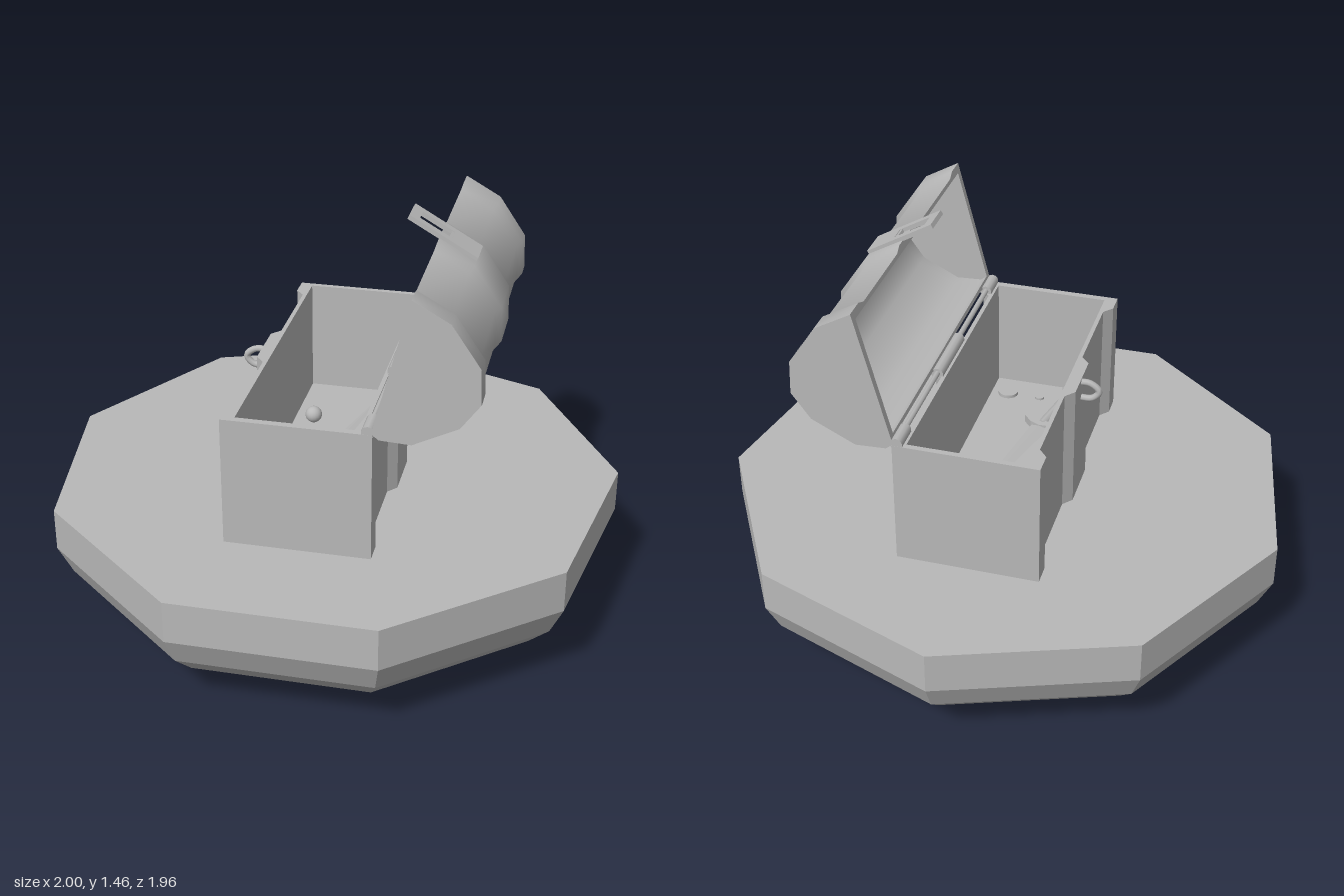
import * as THREE from 'three';
import { toCreasedNormals } from 'three/addons/utils/BufferGeometryUtils.js';

const CZ = 0.03;            // chest centre along z
const Z0 = -0.535, Z1 = 0.595;
const FLOOR = 0.5;          // inside floor of the chest

// positions along the chest: [z, 1 = raised strap, 0 = sunken panel]
const STATIONS = [
  [Z0, 1], [-0.46, 1], [-0.425, 0], [-0.1, 0], [-0.065, 1],
  [0.125, 1], [0.16, 0], [0.485, 0], [0.52, 1], [Z1, 1],
];

// lid outline from the hinge, round the curved back, to the front lip
const LID = [
  [0.24, 0.92], [0.265, 0.9], [0.37, 0.895], [0.52, 0.97], [0.585, 1.06],
  [0.58, 1.18], [0.485, 1.32], [0.36, 1.39],
];
const scaledLid = (s) => LID.map(([x, y]) => [0.3 + (x - 0.3) * s, 1.155 + (y - 1.155) * s]);

// skin closed cross-sections [{z, loop}] that run along z
function loft(sections) {
  const pos = [], idx = [], n = sections[0].loop.length;
  sections.forEach(({ z, loop }) => loop.forEach(([x, y]) => pos.push(x, y, z)));
  for (let i = 0; i < sections.length - 1; i++) {
    for (let j = 0; j < n; j++) {
      const a = i * n + j, b = i * n + (j + 1) % n;
      idx.push(a, b, b + n, a, b + n, a + n);
    }
  }
  const g = new THREE.BufferGeometry();
  g.setAttribute('position', new THREE.Float32BufferAttribute(pos, 3));
  g.setIndex(idx);
  g.computeVertexNormals();
  return g;
}

function shapeOf(points) {
  return new THREE.Shape(points.map(([x, y]) => new THREE.Vector2(x, y)));
}

export function createModel() {
  const model = new THREE.Group();
  const grey = new THREE.MeshStandardMaterial({ color: 0xb8b8b8 });
  grey.name = 'grey';

  function add(name, geometry, parent = model) {
    const mesh = new THREE.Mesh(geometry, grey);
    mesh.name = name;
    parent.add(mesh);
    return mesh;
  }
  const rod = (r, len, sides) => new THREE.CylinderGeometry(r, r, len, sides).rotateX(Math.PI / 2);

  // nine-sided rounded base
  const profile = [
    [0, 0.012], [0.13, 0.012], [0.26, 0.004], [0.38, 0], [0.56, 0.025], [0.73, 0.06],
    [0.88, 0.12], [0.962, 0.2], [1.013, 0.305], [1.013, 0.455], [0, 0.455],
  ].map(([x, y]) => new THREE.Vector2(x, y));
  const base = new THREE.LatheGeometry(profile, 9, Math.PI, Math.PI * 2);
  add('base', toCreasedNormals(base, 0.02)).position.z = 0.028;

  // chest
  const chest = new THREE.Group();
  chest.name = 'chest';
  model.add(chest);

  // walls: strapped outline with the inside cut out
  const front = STATIONS.map(([z, s]) => [s ? -0.255 : -0.225, -z]);
  const back = STATIONS.map(([z, s]) => [s ? 0.245 : 0.215, -z]).reverse();
  const walls = shapeOf([...front, ...back]);
  walls.holes.push(new THREE.Path([
    [-0.21, 0.515], [0.2, 0.515], [0.2, -0.57], [-0.21, -0.57],
  ].map(([x, y]) => new THREE.Vector2(x, y))));
  const wallGeo = new THREE.ExtrudeGeometry(walls, { depth: 0.465, bevelEnabled: false });
  add('chestWalls', wallGeo.rotateX(-Math.PI / 2), chest).position.y = 0.45;
  add('chestFloor', new THREE.BoxGeometry(0.42, 0.05, 1.09), chest).position.set(-0.005, FLOOR - 0.025, CZ);

  // open lid: hollow curved shell
  const inner = scaledLid(0.88).reverse();
  const shell = loft(STATIONS.map(([z, s]) => ({
    z, loop: [...scaledLid(s ? 1 : 0.94), ...inner],
  })));
  add('lidShell', toCreasedNormals(shell, 0.85), chest);

  // lid end walls
  for (const z of [Z0, Z1 - 0.025]) {
    const end = new THREE.ExtrudeGeometry(shapeOf(scaledLid(0.998)), { depth: 0.025, bevelEnabled: false });
    add('lidEnd', end, chest).position.z = z;
  }

  // hinge pin and knuckles
  add('hingePin', rod(0.01, 1.1, 8), chest).position.set(0.23, 0.925, CZ);
  for (const [z, len] of [[-0.487, 0.095], [CZ, 0.25], [0.547, 0.095]]) {
    add('hingeKnuckle', rod(0.022, len, 10), chest).position.set(0.23, 0.922, z);
  }

  // slotted hasp on the lid lip
  const hasp = shapeOf([[0, -0.055], [0.265, -0.055], [0.265, 0.055], [0, 0.055]]);
  hasp.holes.push(new THREE.Path([
    [0.035, -0.028], [0.035, 0.028], [0.16, 0.028], [0.16, -0.028],
  ].map(([x, y]) => new THREE.Vector2(x, y))));
  const haspGeo = new THREE.ExtrudeGeometry(hasp, { depth: 0.016, bevelEnabled: false });
  const haspMesh = add('hasp', haspGeo.rotateX(-Math.PI / 2).rotateZ(-0.52), chest);
  haspMesh.position.set(0.253, 1.448, 0.028);
  const mount = new THREE.BoxGeometry(0.11, 0.03, 0.11).rotateZ(-0.52);
  add('haspMount', mount, chest).position.set(0.43, 1.345, 0.028);

  // staple loop on the chest front
  const loopCurve = new THREE.CatmullRomCurve3([
    [-0.24, 0.898], [-0.285, 0.898], [-0.318, 0.87], [-0.295, 0.84], [-0.24, 0.836],
  ].map(([x, y]) => new THREE.Vector3(x, y, 0.028)));
  add('stapleLoop', new THREE.TubeGeometry(loopCurve, 16, 0.012, 8), chest);

  // treasure: sword lying on the floor, pointing to -z
  const sword = new THREE.Group();
  sword.name = 'sword';
  sword.position.set(-0.055, FLOOR + 0.035, 0.24);
  sword.rotation.y = -0.216;
  model.add(sword);
  const blade = new THREE.ConeGeometry(0.034, 0.72, 4).rotateX(-Math.PI / 2).scale(1, 0.35, 1);
  add('blade', toCreasedNormals(blade, 0.3), sword).position.z = -0.36;
  const guard = shapeOf([[-0.075, 0.02], [-0.04, -0.005], [0, -0.015], [0.04, -0.005], [0.075, 0.02],
    [0.04, 0.022], [0, 0.018], [-0.04, 0.022]]);
  const guardGeo = new THREE.ExtrudeGeometry(guard, { depth: 0.03, bevelEnabled: false });
  add('guard', guardGeo.rotateX(Math.PI / 2), sword).position.y = 0.015;
  add('grip', rod(0.019, 0.25, 8), sword).position.z = 0.135;
  add('pommel', toCreasedNormals(rod(0.035, 0.06, 6), 0.3), sword).position.z = 0.275;

  // treasure: pearl and coins
  add('pearl', new THREE.SphereGeometry(0.031, 16, 12)).position.set(-0.135, FLOOR + 0.031, -0.21);
  add('coin', new THREE.CylinderGeometry(0.038, 0.038, 0.012, 20)).position.set(0.135, FLOOR + 0.006, 0.475);
  add('smallCoin', new THREE.CylinderGeometry(0.018, 0.018, 0.008, 12)).position.set(0.01, FLOOR + 0.004, 0.475);

  return model;
}
